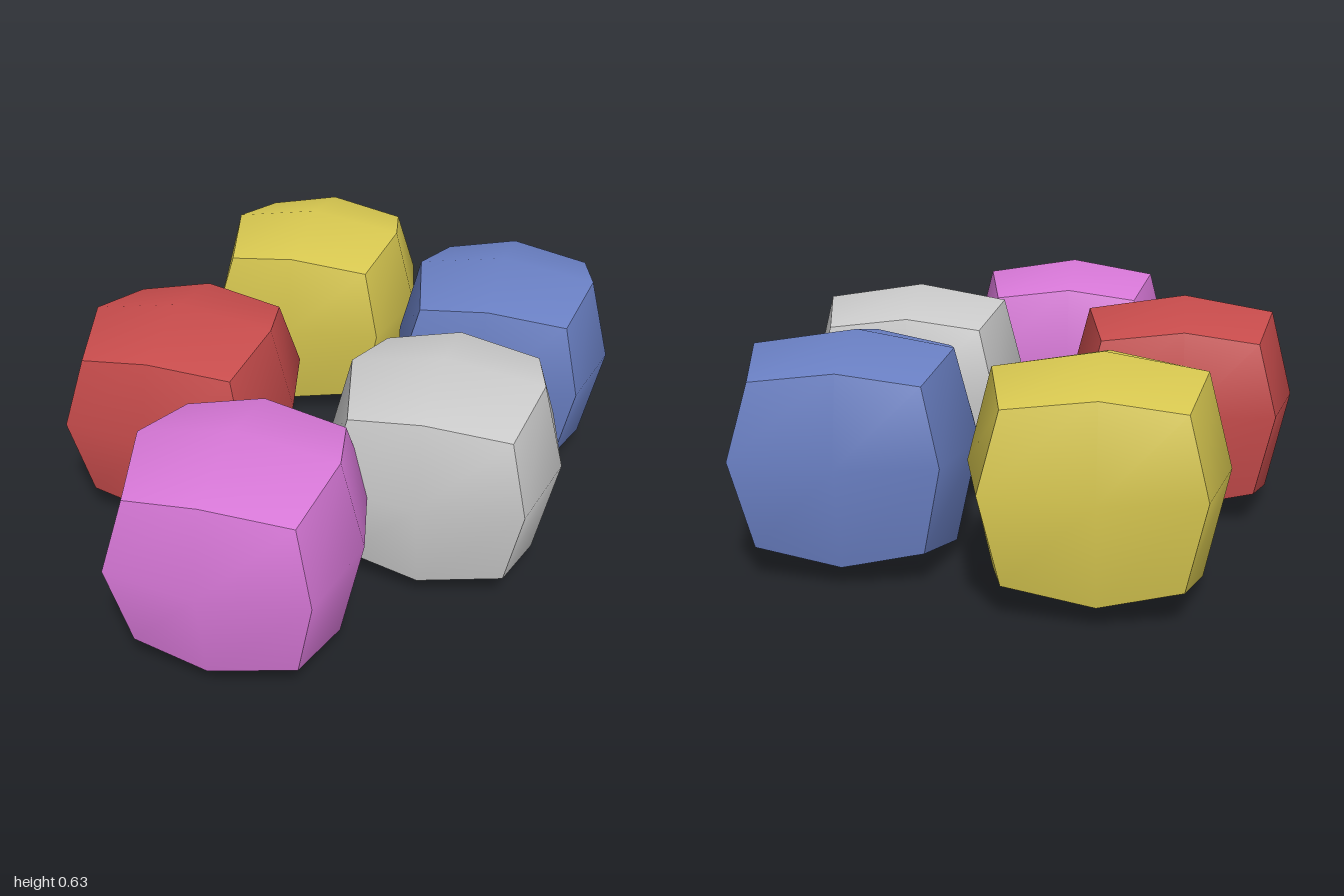
import * as THREE from 'three';

// Half extents by how many axes a vertex lies out on: face centres, then corners.
const FACE = [0.336, 0.316, 0.32];
const CORNER = [0.224, 0.223, 0.233];
// Edge midpoints, keyed by the axis the edge runs along.
const EDGE = [[0, 0.258, 0.262], [0.275, 0, 0.275], [0.272, 0.271, 0]];
// Small drift of the middle points along each axis.
const DRIFT = [-0.012, 0.022, 0];

// A cube with two segments per side, swollen outwards; each face is smooth, cube edges stay sharp.
function bulgedCube() {
  const geo = new THREE.BoxGeometry(2, 2, 2, 2, 2, 2);
  const pos = geo.attributes.position;
  for (let i = 0; i < pos.count; i++) {
    const s = [pos.getX(i), pos.getY(i), pos.getZ(i)].map(Math.round);
    const out = s.filter((v) => v !== 0).length;
    const size = out === 1 ? FACE : out === 3 ? CORNER : EDGE[s.findIndex((v) => v === 0)];
    const p = s.map((v, k) => (v === 0 ? DRIFT[k] : v * size[k]));
    pos.setXYZ(i, ...p);
  }
  geo.computeVertexNormals();
  return geo;
}

export function createModel() {
  const group = new THREE.Group();
  group.name = 'bulgedCubes';
  const geo = bulgedCube();

  // name, colour, x, z
  const cubes = [
    ['yellowCube', 0xd8c850, -0.238, -0.68],
    ['blueCube', 0x6a80c4, 0.431, -0.49],
    ['redCube', 0xc84c4c, -0.437, 0.072],
    ['greyCube', 0xcccccc, 0.378, 0.173],
    ['pinkCube', 0xd878d8, -0.062, 0.677],
  ];
  for (const [name, color, x, z] of cubes) {
    const mesh = new THREE.Mesh(geo, new THREE.MeshStandardMaterial({ color }));
    mesh.name = name;
    mesh.position.set(x, 0.316, z);
    group.add(mesh);
  }
  return group;
}
